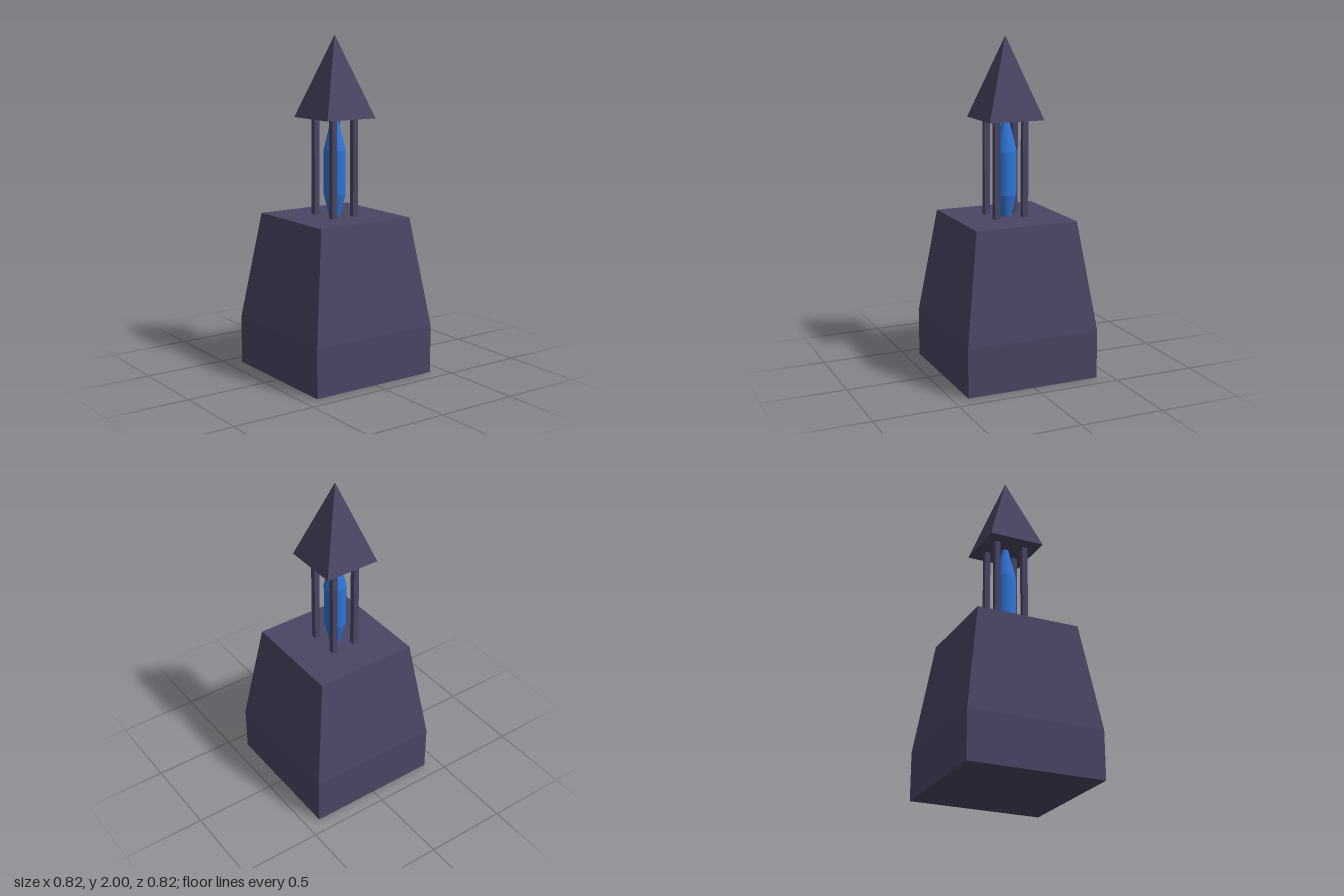
import * as THREE from 'three';

const stone = new THREE.MeshStandardMaterial({ color: 0x4a4563, flatShading: true });
const blue = new THREE.MeshStandardMaterial({ color: 0x2f74d6 });

// Square frustum given by half-widths at the top and bottom and its y range
function frustum(name, topHalf, bottomHalf, y0, y1) {
  const geo = new THREE.CylinderGeometry(topHalf * Math.SQRT2, bottomHalf * Math.SQRT2, y1 - y0, 4, 1);
  geo.rotateY(Math.PI / 4);
  geo.translate(0, (y0 + y1) / 2, 0);
  const mesh = new THREE.Mesh(geo, stone);
  mesh.name = name;
  return mesh;
}

// Round crystal section, open where it meets its neighbours
function crystalSection(name, topR, bottomR, y0, y1) {
  const geo = new THREE.CylinderGeometry(topR, bottomR, y1 - y0, 16, 1, true);
  geo.translate(0, (y0 + y1) / 2, 0);
  const mesh = new THREE.Mesh(geo, blue);
  mesh.name = name;
  return mesh;
}

export function createModel() {
  const model = new THREE.Group();
  model.name = 'crystalShrine';

  // Pedestal: straight plinth and tapering block as one closed shell
  const profile = [[0, 0], [0.41, 0], [0.41, 0.29], [0.315, 0.94], [0, 0.94]]
    .map(([half, y]) => new THREE.Vector2(half * Math.SQRT2, y));
  const pedestalGeo = new THREE.LatheGeometry(profile, 4);
  pedestalGeo.rotateY(Math.PI / 4);
  const pedestal = new THREE.Mesh(pedestalGeo, stone);
  pedestal.name = 'pedestal';
  model.add(pedestal);

  // Four slim posts carrying the roof
  for (const sx of [-1, 1]) {
    for (const sz of [-1, 1]) {
      const post = new THREE.Mesh(new THREE.BoxGeometry(0.034, 0.6, 0.034), stone);
      post.position.set(sx * 0.09, 1.23, sz * 0.075);
      post.name = 'post';
      model.add(post);
    }
  }

  // Pyramid roof
  model.add(frustum('roof', 0, 0.171, 1.52, 2));

  // Crystal with both tips buried in the roof and pedestal
  const crystal = new THREE.Group();
  crystal.name = 'crystal';
  crystal.add(
    crystalSection('crystalTop', 0, 0.066, 1.33, 1.6),
    crystalSection('crystalMiddle', 0.066, 0.066, 1.07, 1.33),
    crystalSection('crystalBottom', 0.066, 0, 0.8, 1.07),
  );
  model.add(crystal);
  return model;
}
